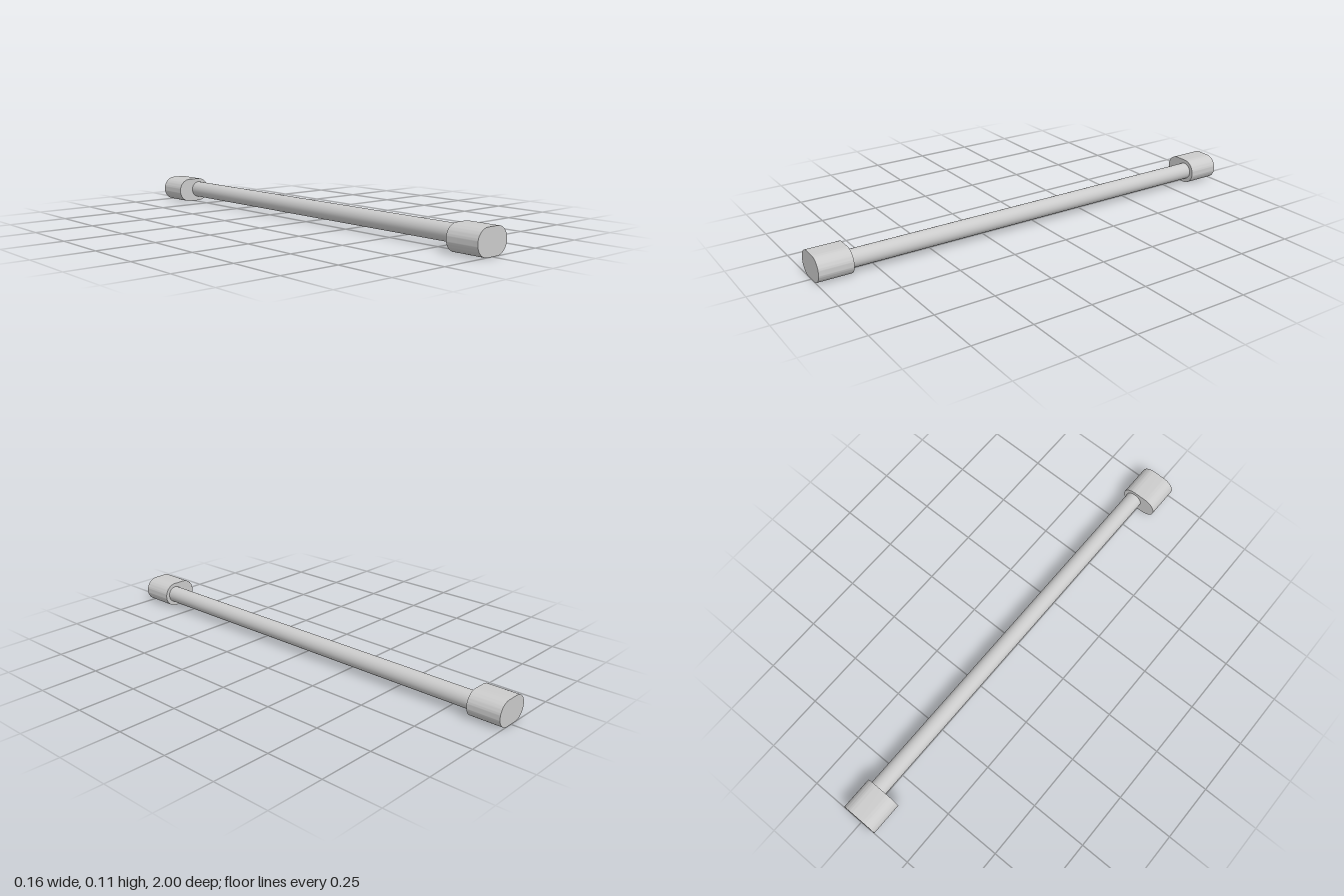
import * as THREE from 'three';
import { toCreasedNormals } from 'three/addons/utils/BufferGeometryUtils.js';

const RADIUS = 0.0545;   // end block rounding
const OFFSET = 0.0265;   // rounding centres, also the rod axis
const BLOCK = 0.143;     // end block length

export function createModel() {
  const model = new THREE.Group();
  const material = new THREE.MeshStandardMaterial({ color: 0xcccccc });

  // Stadium-shaped end blocks
  const outline = new THREE.Shape();
  outline.absarc(OFFSET, 0, RADIUS, -Math.PI / 2, Math.PI / 2, false);
  outline.absarc(-OFFSET, 0, RADIUS, Math.PI / 2, Math.PI * 1.5, false);
  outline.closePath();
  const blockGeometry = toCreasedNormals(
    new THREE.ExtrudeGeometry(outline, { depth: BLOCK, bevelEnabled: false, curveSegments: 20 }),
    Math.PI / 6
  );
  for (const [name, z] of [['frontEndBlock', 1 - BLOCK], ['backEndBlock', -1]]) {
    const block = new THREE.Mesh(blockGeometry, material);
    block.name = name;
    block.position.set(0, RADIUS, z);
    model.add(block);
  }

  // Round rod, set to one side of the blocks
  const rod = new THREE.Mesh(new THREE.CylinderGeometry(0.037, 0.037, 2 - 2 * BLOCK, 40), material);
  rod.name = 'rod';
  rod.rotation.x = Math.PI / 2;
  rod.position.set(OFFSET, 0.056, 0);
  model.add(rod);

  return model;
}
